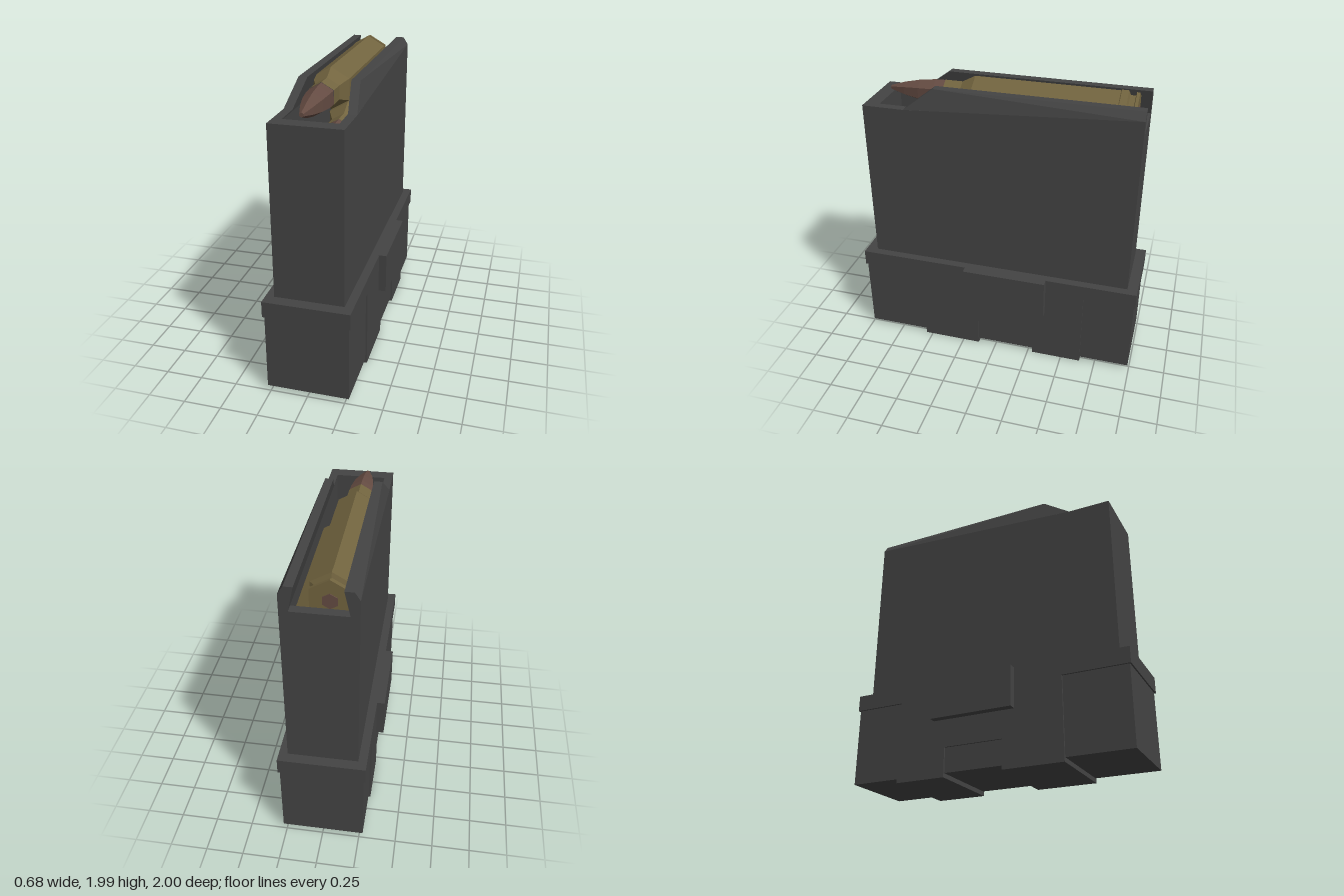
import * as THREE from 'three';

const steel = new THREE.MeshStandardMaterial({ color: 0x444444 });
steel.name = 'dark grey';
const brass = new THREE.MeshStandardMaterial({ color: 0x72643f });
brass.name = 'brass';
const copper = new THREE.MeshStandardMaterial({ color: 0x644b42 });
copper.name = 'copper';

function add(parent, name, geometry, material) {
  const mesh = new THREE.Mesh(geometry, material);
  mesh.name = name;
  parent.add(mesh);
  return mesh;
}

// Box given by its limits on each axis
function box(parent, name, [x0, x1], [y0, y1], [z0, z1]) {
  const mesh = add(parent, name, new THREE.BoxGeometry(x1 - x0, y1 - y0, z1 - z0), steel);
  mesh.position.set((x0 + x1) / 2, (y0 + y1) / 2, (z0 + z1) / 2);
  return mesh;
}

// Side wall with its feed lip, lofted along z; side is 1 or -1
function sideWall(side) {
  const section = (z, chamferY, topY, outerX, innerX) => [
    [0.23, 0.6, z], [0.23, chamferY, z], [outerX, topY, z],
    [innerX, topY, z], [0.175, 1.8, z], [0.175, 0.6, z],
  ];
  const sections = [
    section(-0.93, 1.91, 1.963, 0.197, 0.14),
    section(0.43, 1.823, 1.963, 0.197, 0.14),
    section(0.63, 1.81, 1.811, 0.229, 0.172),
    section(0.92, 1.81, 1.811, 0.229, 0.175),
  ];
  const n = 6, index = [];
  const tri = (a, b, c) => (side > 0 ? index.push(a, b, c) : index.push(a, c, b));
  for (let s = 0; s < sections.length - 1; s++) {
    for (let i = 0; i < n; i++) {
      const a = s * n + i, b = s * n + (i + 1) % n;
      tri(a, b, b + n);
      tri(a, b + n, a + n);
    }
  }
  // End caps
  const last = (sections.length - 1) * n;
  for (let k = 1; k < n - 1; k++) {
    const p = (4 + k) % n, q = (5 + k) % n;
    tri(4, q, p);
    tri(last + 4, last + p, last + q);
  }
  const positions = sections.flat().map(([x, y, z]) => [x * side, y, z]).flat();
  const indexed = new THREE.BufferGeometry();
  indexed.setAttribute('position', new THREE.Float32BufferAttribute(positions, 3));
  indexed.setIndex(index);
  const geometry = indexed.toNonIndexed();
  geometry.computeVertexNormals();
  return geometry;
}

// Faceted six-sided turning along z from [radius, z] pairs
function turned(profile) {
  const points = profile.map(([r, z]) => new THREE.Vector2(r, z));
  const geometry = new THREE.LatheGeometry(points, 6).rotateX(Math.PI / 2).toNonIndexed();
  geometry.computeVertexNormals();
  return geometry;
}

export function createModel() {
  const model = new THREE.Group();
  model.name = 'magazine';

  // Hollow body, open at the top
  const body = new THREE.Group();
  body.name = 'body';
  model.add(body);
  add(body, 'leftWall', sideWall(1), steel);
  add(body, 'rightWall', sideWall(-1), steel);
  box(body, 'frontWall', [-0.175, 0.175], [0.6, 1.811], [0.82, 0.92]);
  box(body, 'backWall', [-0.175, 0.175], [0.6, 1.8], [-0.93, -0.87]);

  // Base with rim, raised middle band and grips
  const base = new THREE.Group();
  base.name = 'base';
  model.add(base);
  box(base, 'baseCore', [-0.275, 0.275], [0.03, 0.6], [-0.99, 0.99]);
  box(base, 'rim', [-0.287, 0.287], [0.56, 0.67], [-1, 1]);
  box(base, 'bandTop', [-0.287, 0.287], [0.2, 0.56], [-0.64, 0.55]);
  box(base, 'frontFoot', [-0.287, 0.287], [0, 0.2], [0.13, 0.55]);
  box(base, 'backFoot', [-0.287, 0.287], [0, 0.2], [-0.64, -0.285]);
  for (const side of [1, -1]) {
    const x = side > 0 ? [0.28, 0.34] : [-0.34, -0.28];
    box(base, side > 0 ? 'leftGrip' : 'rightGrip', x, [0.39, 0.673], [-0.37, 0.22]);
  }

  // Staggered stack of cartridges
  const caseShape = turned([
    [0, -0.86], [0.138, -0.86], [0.138, -0.84], [0.115, -0.835], [0.115, -0.8],
    [0.145, -0.79], [0.145, -0.745], [0.14, -0.74], [0.14, 0.22], [0.092, 0.31], [0.092, 0.43],
  ]);
  const bulletShape = turned([
    [0.09, 0.43], [0.088, 0.5], [0.074, 0.61], [0.049, 0.72], [0.015, 0.825], [0, 0.825],
  ]);
  const primerShape = turned([[0, -0.866], [0.05, -0.866], [0.05, -0.85]]);
  for (let i = 0; i < 5; i++) {
    const round = new THREE.Group();
    round.name = 'cartridge';
    round.position.set(i % 2 ? 0.06 : -0.05, 1.845 - i * 0.225, 0);
    add(round, 'case', caseShape, brass);
    add(round, 'bullet', bulletShape, copper);
    add(round, 'primer', primerShape, copper);
    model.add(round);
  }
  return model;
}
